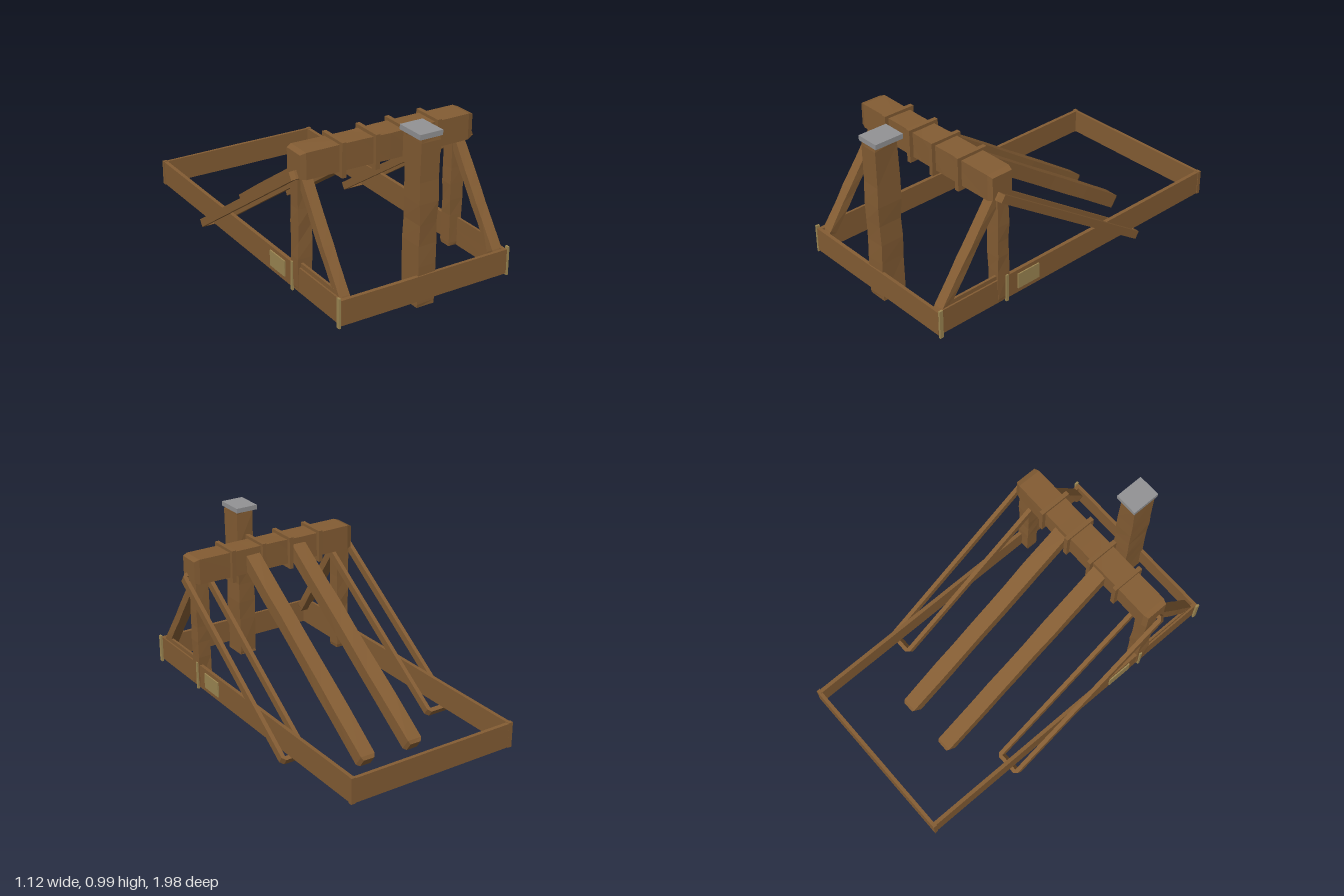
import * as THREE from 'three';

export function createModel() {
  const root = new THREE.Group();
  const mat = (name, color) => {
    const m = new THREE.MeshStandardMaterial({ color });
    m.name = name;
    return m;
  };
  const wood = mat('wood', 0x835c33);
  const brass = mat('brass', 0x9c8652);
  const iron = mat('iron', 0x929294);

  let seed = 7;
  const rand = () => (seed = (seed * 16807) % 2147483647) / 2147483647;

  const add = (name, geo, material, x, y, z) => {
    const mesh = new THREE.Mesh(geo, material);
    mesh.name = name;
    mesh.position.set(x, y, z);
    root.add(mesh);
    return mesh;
  };
  const box = (name, material, w, h, d, x, y, z) =>
    add(name, new THREE.BoxGeometry(w, h, d), material, x, y, z);

  // Rough-hewn timber along y: each ring of corners is cut in a little, ends are chamfered
  function timber(w, len, d, { rings = 7, rough = 0.12, taper = 0.85, chamfer = 0.02 } = {}) {
    const g = new THREE.BoxGeometry(w, len, d, 1, rings, 1);
    const cuts = [];
    for (let i = 0; i <= rings; i++) {
      const row = [];
      for (let k = 0; k < 4; k++) row.push([1 - rand() * rough, 1 - rand() * rough]);
      cuts.push(row);
    }
    const p = g.attributes.position;
    for (let i = 0; i < p.count; i++) {
      const ring = Math.round((p.getY(i) / len + 0.5) * rings);
      const corner = (p.getX(i) > 0 ? 1 : 0) + (p.getZ(i) > 0 ? 2 : 0);
      const end = ring === 0 || ring === rings;
      const [cx, cz] = end ? [taper, taper] : cuts[ring][corner];
      let y = p.getY(i);
      if (ring === 1) y = -len / 2 + chamfer;
      if (ring === rings - 1) y = len / 2 - chamfer;
      p.setXYZ(i, p.getX(i) * cx, y, p.getZ(i) * cz);
    }
    const flat = g.toNonIndexed();
    flat.computeVertexNormals();
    return flat;
  }

  // Timber at a given x, running between two [y, z] points
  function strut(name, x, w, d, a, b, opts) {
    const dy = b[0] - a[0], dz = b[1] - a[1];
    const m = add(name, timber(w, Math.hypot(dy, dz), d, opts), wood,
      x, (a[0] + b[0]) / 2, (a[1] + b[1]) / 2);
    m.rotation.x = Math.atan2(dz, dy);
    return m;
  }

  // Ground frame: front and back planks
  const plank = { rings: 6, rough: 0.03, taper: 0.98 };
  for (const [name, z, w] of [['frontPlank', 0.975, 1.02], ['backPlank', -0.988, 1.0]]) {
    add(name, timber(0.143, w, 0.02, plank), wood, 0, 0.162, z).rotation.z = Math.PI / 2;
  }

  // Top crossbeam and its bands
  add('crossbeam', timber(0.15, 1.05, 0.15, { rings: 6, rough: 0.06, taper: 0.84, chamfer: 0.03 }),
    wood, 0, 0.805, 0.565).rotation.z = Math.PI / 2;
  for (const x of [-0.29, -0.09, 0.09, 0.29]) {
    box('beamBand', wood, 0.025, 0.19, 0.19, x, 0.8, 0.565);
  }

  // Front post with iron cap
  add('frontPost', timber(0.116, 0.92, 0.15, { rings: 8, rough: 0.13, taper: 0.93 }),
    wood, 0, 0.51, 0.905);
  box('postCap', iron, 0.136, 0.028, 0.17, 0, 0.985, 0.895);

  // Strap loop outline: a long frame with clipped corners
  function strapGeometry(w, len, depth) {
    const x = w / 2, y = len / 2, c = 0.02, t = 0.024;
    const outline = [[-x + c, -y], [x - c, -y], [x, -y + c], [x, y - c],
      [x - c, y], [-x + c, y], [-x, y - c], [-x, -y + c]];
    const shape = new THREE.Shape(outline.map(([a, b]) => new THREE.Vector2(a, b)));
    const hole = [[-x + t, -y + t], [-x + t, y - t], [x - t, y - t], [x - t, -y + t]];
    shape.holes.push(new THREE.Path(hole.map(([a, b]) => new THREE.Vector2(a, b))));
    const g = new THREE.ExtrudeGeometry(shape, { depth, bevelEnabled: false });
    return g.translate(0, 0, -depth / 2);
  }

  for (const s of [-1, 1]) {
    // Side plank, sill and back corner block
    add('sidePlank', timber(0.022, 1.97, 0.143, plank), wood, s * 0.5, 0.162, -0.008)
      .rotation.x = Math.PI / 2;
    box('sill', wood, 0.014, 0.07, 0.38, s * 0.494, 0.222, 0.71);
    box('backCorner', wood, 0.026, 0.147, 0.022, s * 0.502, 0.162, -0.987);

    // Upright, front brace and long rear brace
    add('upright', timber(0.088, 0.65, 0.08, { rough: 0.16 }), wood, s * 0.475, 0.42, 0.55);
    strut('frontBrace', s * 0.47, 0.066, 0.05, [0.2, 0.94], [0.73, 0.572], { rough: 0.12 });
    strut('rearBrace', s * 0.153, 0.094, 0.082, [0.035, -0.628], [0.83, 0.55],
      { rings: 9, rough: 0.08, taper: 0.72 });

    // Strap loop around the upright and under the side plank
    const strap = add('strapLoop', strapGeometry(0.16, 1.25, 0.045), wood, s * 0.478, 0.412, 0.085);
    strap.rotation.x = Math.atan2(1.035, 0.695);

    // Brass fittings
    box('cornerBracket', brass, 0.012, 0.165, 0.022, s * 0.519, 0.163, 0.975);
    box('middleBracket', brass, 0.012, 0.165, 0.015, s * 0.517, 0.165, 0.53);
    box('sidePlate', brass, 0.008, 0.09, 0.15, s * 0.514, 0.165, 0.375);
  }
  return root;
}
